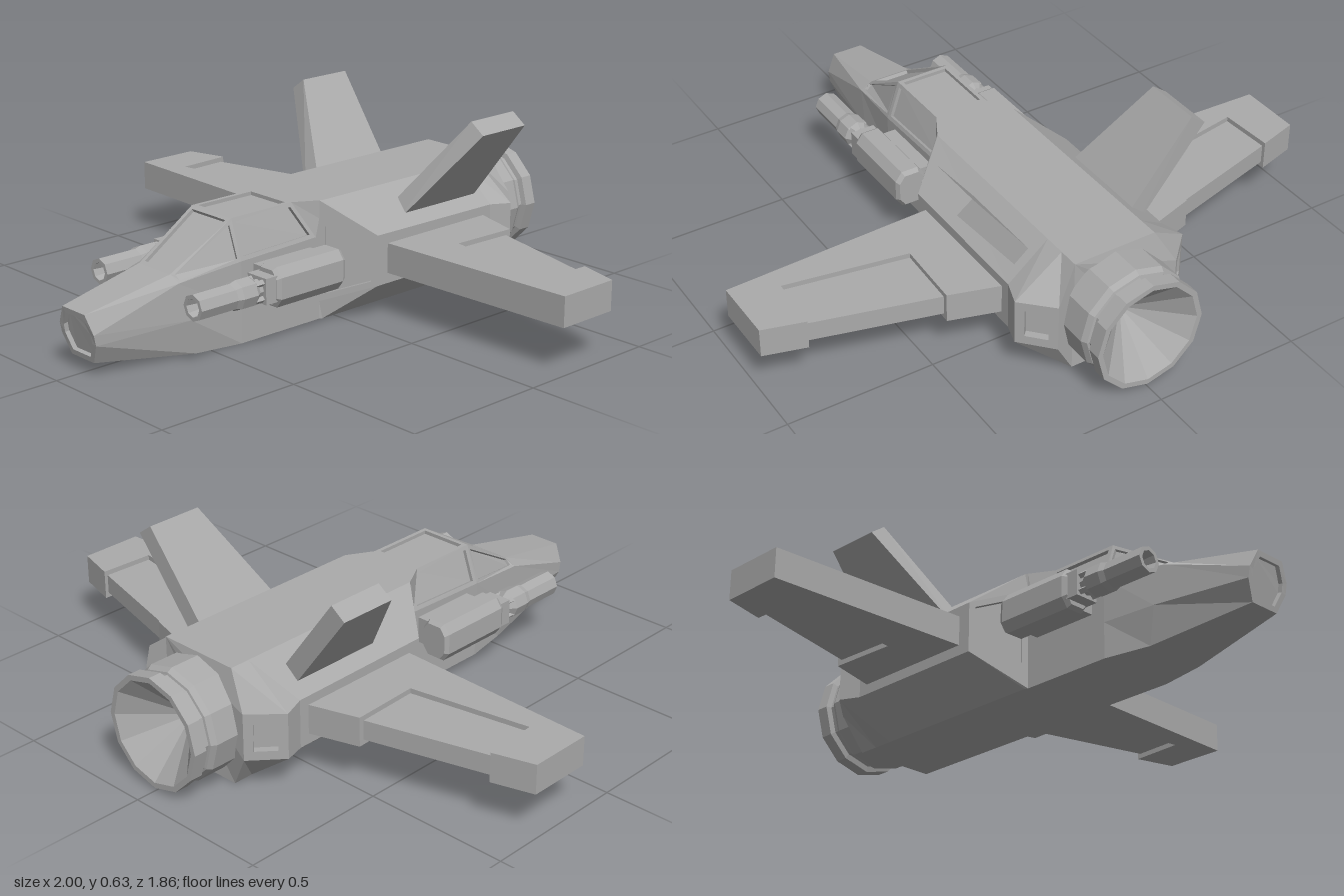
import * as THREE from 'three';
import { ConvexGeometry } from 'three/addons/geometries/ConvexGeometry.js';

const V = (x, y, z) => new THREE.Vector3(x, y, z);

// Adds a flat polygon; with an inset it gets a border and a recessed panel.
function addFace(out, pts, inset = 0, depth = 0) {
  const fan = p => { for (let i = 1; i < p.length - 1; i++) out.push(p[0], p[i], p[i + 1]); };
  if (!inset) return fan(pts);
  const n = pts.length, k = Math.floor(n / 4);
  const normal = pts[2 * k].clone().sub(pts[0]).cross(pts[3 * k].clone().sub(pts[k])).normalize();
  const rim = pts.map((p, i) => {
    const e1 = p.clone().sub(pts[(i + n - 1) % n]).normalize();
    const e2 = pts[(i + 1) % n].clone().sub(p).normalize();
    const s = e1.clone().cross(e2).length();
    return p.clone().addScaledVector(e2.sub(e1), inset / s);
  });
  const floor = rim.map(p => p.clone().addScaledVector(normal, -depth));
  for (let i = 0; i < n; i++) {
    const j = (i + 1) % n;
    fan([pts[i], pts[j], rim[j], rim[i]]);
    fan([rim[i], rim[j], floor[j], floor[i]]);
  }
  fan(floor);
}

// Each section lists [x, y, z] for the +x half, top to bottom; sections run front to back.
function loft(sections, panels, nosePanel, tailCap) {
  const loops = sections.map(s => [
    ...s.map(p => V(...p)), ...s.slice().reverse().map(([x, y, z]) => V(-x, y, z)),
  ]);
  const out = [], n = loops[0].length;
  for (let i = 0; i < loops.length - 1; i++) {
    for (let j = 0; j < n; j++) {
      const k = (j + 1) % n, panel = panels[`${i}:${Math.min(j, n - 2 - j)}`] || [];
      addFace(out, [loops[i][j], loops[i][k], loops[i + 1][k], loops[i + 1][j]], ...panel);
    }
  }
  if (nosePanel) addFace(out, loops[0].slice().reverse(), ...nosePanel);
  if (tailCap) addFace(out, loops[loops.length - 1]);
  return new THREE.BufferGeometry().setFromPoints(out);
}

function lathe(profile, sides, turn) {
  return new THREE.LatheGeometry(profile.map(p => new THREE.Vector2(...p)), sides).rotateX(turn);
}

// Slab with an outline in x and z, from height y0 to y1
function slab(outline, y0, y1, side) {
  const shape = new THREE.Shape(outline.map(([x, z]) => new THREE.Vector2(side * x, -z)));
  return new THREE.ExtrudeGeometry(shape, { depth: y1 - y0, bevelEnabled: false })
    .rotateX(-Math.PI / 2).translate(0, y0, 0);
}

export function createModel() {
  const model = new THREE.Group();
  model.name = 'starfighter';
  const grey = new THREE.MeshStandardMaterial({ color: 0xaaaaaa, flatShading: true, side: THREE.DoubleSide });
  grey.name = 'hull grey';

  const add = (name, geometry, x = 0, y = 0, z = 0, parent = model) => {
    geometry.computeVertexNormals();
    const mesh = new THREE.Mesh(geometry, grey);
    mesh.name = name;
    mesh.position.set(x, y, z);
    parent.add(mesh);
  };

  // Nose and cockpit with recessed window panes
  const joint = [[0.14, 0.4, 0.06], [0.14, 0.34, 0.06], [0.14, 0.06, 0.06], [0.14, 0, 0.06]];
  add('cockpit', loft([
    [[0.055, 0.205, 0.93], [0.085, 0.145, 0.92], [0.085, 0.11, 0.913], [0.055, 0.045, 0.9]],
    [[0.075, 0.265, 0.62], [0.115, 0.245, 0.62], [0.125, 0.12, 0.58], [0.11, 0, 0.55]],
    [[0.095, 0.4, 0.39], [0.14, 0.27, 0.39], [0.14, 0.12, 0.39], [0.14, 0, 0.39]],
    [[0.095, 0.4, 0.14], [0.14, 0.28, 0.075], [0.14, 0.12, 0.075], [0.14, 0, 0.075]],
    joint,
  ], {
    '1:-1': [0.014, 0.012], '1:0': [0.012, 0.01], '2:-1': [0.014, 0.012], '2:0': [0.014, 0.012],
    '1:7': [0.014, 0.012], '2:7': [0.014, 0.012],
  }, [0.018, 0.015], false));

  // Main body: front bulkhead panels, widened tail and side vents
  add('mainBody', loft([
    joint,
    [[0.145, 0.4, 0.05], [0.285, 0.29, -0.06], [0.285, 0.12, -0.06], [0.145, 0, 0.05]],
    [[0.145, 0.4, -0.59], [0.285, 0.285, -0.59], [0.285, 0.12, -0.59], [0.145, 0, -0.59]],
    [[0.145, 0.4, -0.665], [0.31, 0.28, -0.665], [0.31, 0.125, -0.665], [0.145, 0, -0.665]],
    [[0.145, 0.4, -0.735], [0.215, 0.28, -0.76], [0.215, 0.12, -0.76], [0.145, 0, -0.735]],
  ], { '0:1': [0.02, 0.012], '3:1': [0.03, 0.025] }, null, true));

  // Engine with grooved casing and hollow cone nozzle
  add('engine', lathe([
    [0.15, 0.7], [0.19, 0.735], [0.19, 0.84], [0.18, 0.858], [0.172, 0.86], [0.172, 0.88],
    [0.19, 0.885], [0.19, 0.93], [0.172, 0.93], [0, 0.77],
  ], 12, -Math.PI / 2), 0, 0.2, 0);

  for (const side of [1, -1]) {
    const label = side > 0 ? 'left' : 'right';

    // Wing: thick frame around a thinner flap
    const wing = new THREE.Group();
    wing.name = `${label}Wing`;
    model.add(wing);
    add('wingFrame', slab([
      [0.2, -0.1], [0.285, -0.105], [1, -0.13], [1, -0.35], [0.86, -0.39], [0.85, -0.2],
      [0.44, -0.27], [0.45, -0.505], [0.285, -0.555], [0.2, -0.555],
    ], 0.155, 0.255, side), 0, 0, 0, wing);
    add('wingFlap', slab([[0.42, -0.25], [0.87, -0.18], [0.87, -0.375], [0.42, -0.495]],
      0.172, 0.238, side), 0, 0, 0, wing);

    // Swept tail fin, leaning outwards
    const fin = [
      [0.165, 0.325, -0.225], [0.215, 0.285, -0.21], [0.165, 0.325, -0.555], [0.215, 0.285, -0.555],
      [0.395, 0.632, -0.365], [0.447, 0.594, -0.365], [0.395, 0.632, -0.565], [0.447, 0.594, -0.565],
    ];
    add(`${label}Fin`, new ConvexGeometry(fin.map(([x, y, z]) => V(side * x, y, z))));

    // Gun pod with chamfered casing, mount and barrel
    const gun = new THREE.Group();
    gun.name = `${label}Gun`;
    gun.position.set(side * 0.23, 0.207, 0);
    model.add(gun);
    const casing = [];
    for (const sx of [1, -1]) for (const sy of [1, -1]) {
      for (const [z, k] of [[0.075, 0.85], [0.09, 1], [0.35, 1], [0.365, 0.85]]) {
        casing.push(V(sx * 0.053 * k, sy * 0.035 * k, z), V(sx * 0.03 * k, sy * 0.066 * k, z));
      }
    }
    add('podCasing', new ConvexGeometry(casing), 0, 0, 0, gun);
    add('podMount', new THREE.BoxGeometry(0.07, 0.09, 0.24), -side * 0.07, 0, 0.22, gun);
    add('barrelCollar', new THREE.BoxGeometry(0.085, 0.085, 0.05), 0, 0, 0.38, gun);
    add('barrel', lathe([
      [0.03, 0.37], [0.034, 0.42], [0.049, 0.44], [0.049, 0.495], [0.043, 0.515],
      [0.043, 0.66], [0.03, 0.66], [0.024, 0.62], [0, 0.62],
    ], 8, Math.PI / 2), 0, 0, 0, gun);
    // Cooling ribs along the barrel
    for (let i = 0; i < 4; i++) {
      const a = i * Math.PI / 2 + Math.PI / 4;
      add('barrelRib', new THREE.BoxGeometry(0.016, 0.016, 0.09).rotateZ(a),
        Math.cos(a) * 0.037, Math.sin(a) * 0.037, 0.44, gun);
    }
  }
  return model;
}
